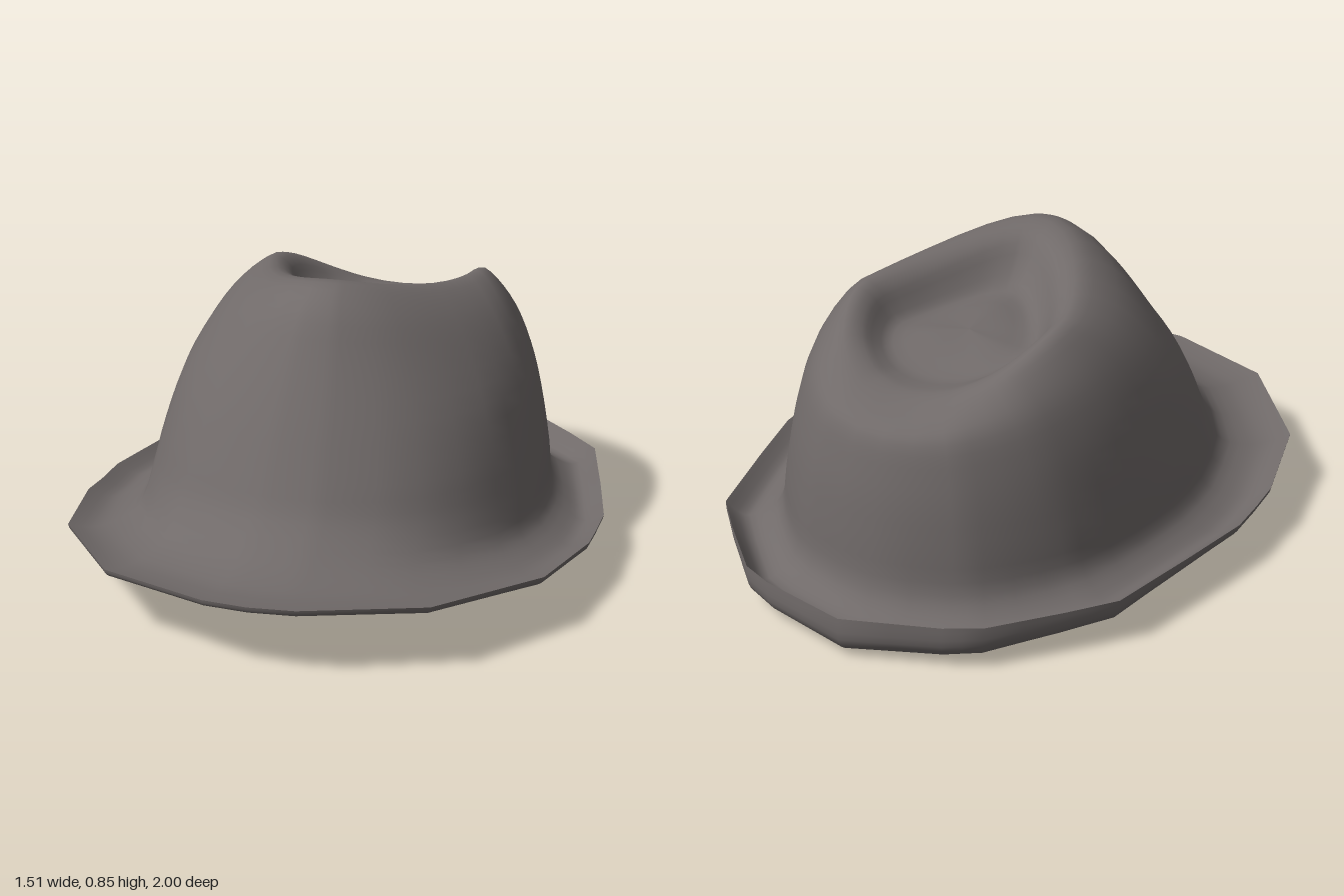
import * as THREE from 'three';

// Right half of the angular brim outline in unit form (across, forward), front to back
const OUTLINE = [
  [0, 0.995], [0.17, 0.98], [0.60, 0.83], [0.914, 0.478], [1, 0.13], [1, -0.11],
  [0.93, -0.333], [0.835, -0.61], [0.70, -0.722], [0.49, -0.88], [0.36, -0.926], [0, -1],
];

// Outline points all the way round, with one extra point on each straight side
const half = [];
for (let i = 0; i < OUTLINE.length - 1; i++) {
  const [a, b] = [OUTLINE[i], OUTLINE[i + 1]];
  half.push(a, [(a[0] + b[0]) / 2, (a[1] + b[1]) / 2]);
}
const LOOP = [...half, [0, -1], ...half.slice(1).reverse().map(([s, k]) => [-s, k])];
const SIDES = LOOP.length;

// Each ring: [centre z, half width, front z, back z, front y, side y, back y, front pinch, angularity]
const BRIM_TOP = [
  [0.08, 0.755, 1.00, -1.00, 0.20, 0.135, 0.125, 0, 1],
  [0.06, 0.70, 0.95, -0.95, 0.195, 0.105, 0.06, 0, 1],
  [0.03, 0.65, 0.87, -0.88, 0.195, 0.115, 0.07, 0, 0.8],
  [0.00, 0.59, 0.76, -0.825, 0.225, 0.16, 0.13, 0, 0.4],
];
const CROWN = [
  [-0.02, 0.572, 0.65, -0.808, 0.295, 0.25, 0.25, 0, 0.15],
  [-0.05, 0.545, 0.587, -0.793, 0.385, 0.38, 0.36, 0, 0],
  [-0.08, 0.51, 0.50, -0.775, 0.53, 0.52, 0.45, 0.05, 0],
  [-0.14, 0.455, 0.40, -0.75, 0.69, 0.64, 0.535, 0.12, 0],
  [-0.20, 0.392, 0.325, -0.71, 0.80, 0.725, 0.57, 0.2, 0],
  [-0.27, 0.325, 0.23, -0.64, 0.855, 0.772, 0.60, 0.3, 0],
];
const DENT = [
  [-0.28, 0.275, 0.13, -0.58, 0.83, 0.75, 0.617, 0.38, 0],
  [-0.28, 0.24, 0.07, -0.53, 0.755, 0.70, 0.617, 0.42, 0],
  [-0.28, 0.20, 0.00, -0.47, 0.695, 0.665, 0.617, 0.4, 0],
  [-0.27, 0.10, -0.12, -0.36, 0.69, 0.67, 0.65, 0.2, 0],
  [-0.25, 0, -0.25, -0.25, 0.675, 0.675, 0.675, 0, 0],
];
const OPENING = [0, 0.545, 0.63, -0.76, 0.18, 0.115, 0.075, 0, 1];
const UNDERSIDE = [
  BRIM_TOP[0],
  [0.08, 0.748, 0.995, -1.00, 0.185, 0.115, 0.06, 0, 1],
  [0.07, 0.72, 0.98, -0.97, 0.18, 0.09, 0.02, 0, 1],
  [0.06, 0.66, 0.92, -0.90, 0.175, 0.07, 0.003, 0, 1],
  [0.03, 0.60, 0.78, -0.83, 0.175, 0.09, 0.04, 0, 1],
  OPENING,
];
// Lining follows the crown a little way inside
const LINING = [
  OPENING,
  ...CROWN.map(([c, w, f, b, yf, ys, yb, ...rest]) =>
    [c, w - 0.02, f - 0.025, b + 0.02, yf - 0.01, ys - 0.01, yb - 0.01, ...rest]),
  ...DENT.map(([c, w, f, b, yf, ys, yb, ...rest]) =>
    [c, w, f, b, yf - 0.02, ys - 0.02, yb - 0.02, ...rest]),
];

// Smooth blend of neighbouring rings
function refine(rings, steps) {
  const out = [];
  const at = (i) => rings[Math.min(Math.max(i, 0), rings.length - 1)];
  for (let i = 0; i < rings.length - 1; i++) {
    for (let s = 0; s < steps; s++) {
      const t = s / steps;
      out.push(at(i).map((p1, k) => {
        const p0 = at(i - 1)[k], p2 = at(i + 1)[k], p3 = at(i + 2)[k];
        return p1 + 0.5 * t * (p2 - p0 + t * (2 * p0 - 5 * p1 + 4 * p2 - p3 + t * (3 * (p1 - p2) + p3 - p0)));
      }));
    }
  }
  out.push(at(rings.length - 1));
  return out;
}

// One point on a ring, between the angular outline and a smooth oval
function ringPoint([c, w, front, back, yf, ys, yb, pinch, angular], [os, ok]) {
  const angle = Math.atan2(os, ok);
  const round = (v) => Math.sign(v) * Math.pow(Math.abs(v), 0.95);
  const s = THREE.MathUtils.lerp(round(Math.sin(angle)), os, angular);
  const k = THREE.MathUtils.lerp(round(Math.cos(angle)), ok, angular);
  const x = w * s * (1 - pinch * Math.max(0, k));
  const z = k > 0 ? c + (front - c) * k : c + (c - back) * k;
  const y = k > 0
    ? ys + (yf - ys) * Math.pow(k, 1.9 - 0.9 * angular)
    : ys + (yb - ys) * Math.pow(-k, 1.7 + 0.2 * angular);
  return [x, y, z];
}

// Skin a list of rings
function skin(name, rings, material, inward) {
  const rows = refine(rings, 3);
  const positions = [], index = [];
  rows.forEach((ring, j) => {
    for (let i = 0; i < SIDES; i++) {
      positions.push(...ringPoint(ring, LOOP[i]));
      if (j === rows.length - 1) continue;
      const n = (i + 1) % SIDES;
      const a = j * SIDES + i, b = j * SIDES + n, c = a + SIDES, d = b + SIDES;
      if (inward) index.push(a, c, b, b, c, d);
      else index.push(a, b, c, b, d, c);
    }
  });
  const geometry = new THREE.BufferGeometry();
  geometry.setAttribute('position', new THREE.Float32BufferAttribute(positions, 3));
  geometry.setIndex(index);
  geometry.computeVertexNormals();
  const mesh = new THREE.Mesh(geometry, material);
  mesh.name = name;
  return mesh;
}

export function createModel() {
  const felt = new THREE.MeshStandardMaterial({ color: 0x706a69 });
  felt.name = 'greyFelt';

  const hat = new THREE.Group();
  hat.name = 'hat';
  hat.add(
    skin('crownAndBrim', [...BRIM_TOP, ...CROWN, ...DENT], felt, false),
    skin('brimUnderside', UNDERSIDE, felt, true),
    skin('lining', LINING, felt, true),
  );
  return hat;
}
